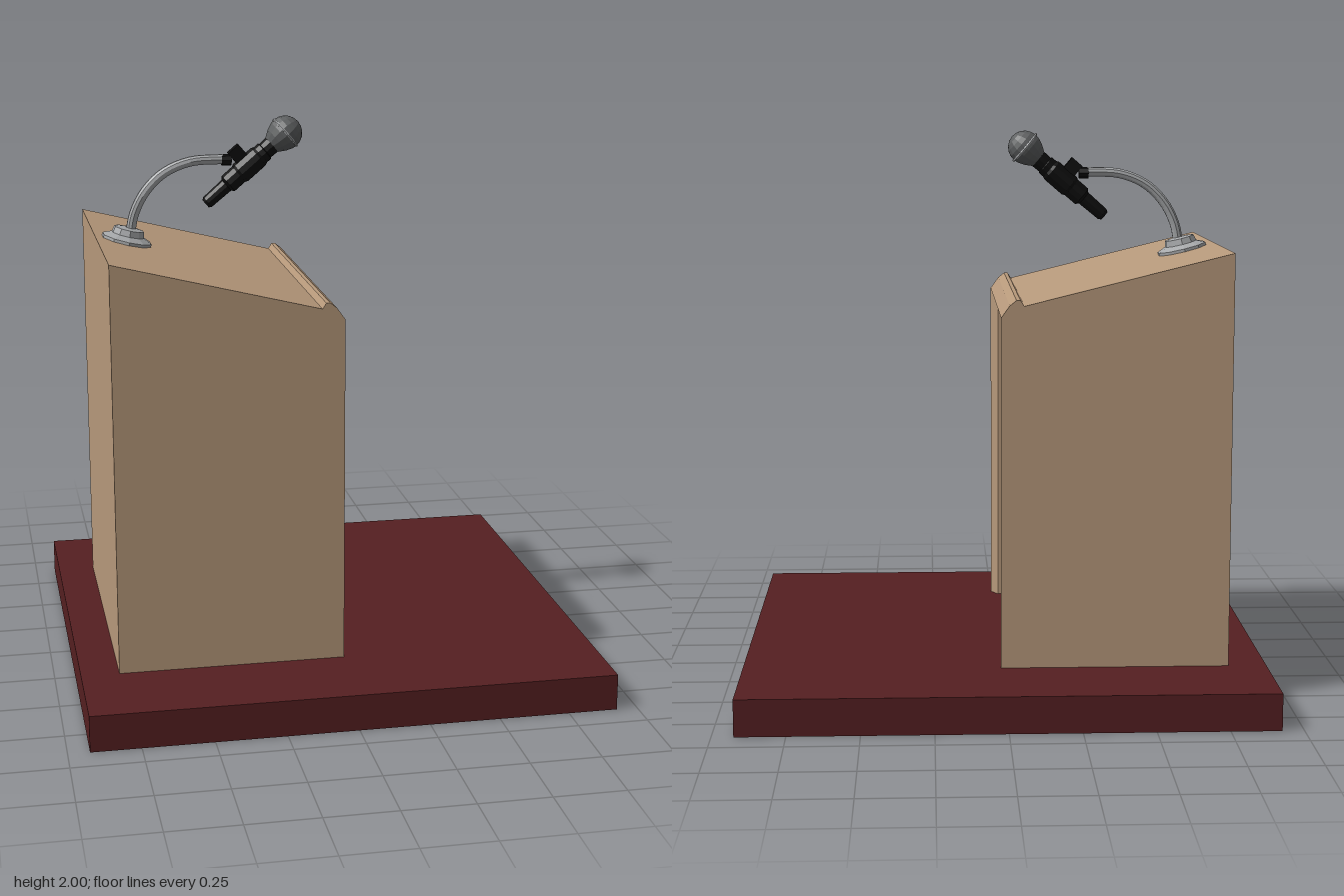
import * as THREE from 'three';

const mat = (name, color) => {
  const m = new THREE.MeshStandardMaterial({ color, flatShading: true });
  m.name = name;
  return m;
};

export function createModel() {
  const maroon = mat('maroon', 0x551f21);
  const wood = mat('wood', 0xb7997b);
  wood.side = THREE.DoubleSide;
  const steel = mat('steel', 0xa6a8aa);
  const black = mat('black', 0x0d0d0d);
  const mesh = mat('grille', 0x5c5e5f);

  const model = new THREE.Group();
  const add = (name, geometry, material, parent = model) => {
    const m = new THREE.Mesh(geometry, material);
    m.name = name;
    parent.add(m);
    return m;
  };
  const lathe = (points, sides) =>
    new THREE.LatheGeometry(points.map(([r, y]) => new THREE.Vector2(r, y)), sides);

  // Floor platform
  add('platform', new THREE.BoxGeometry(1.85, 0.13, 1.79), maroon).position.y = 0.065;

  // Lectern outer side profile, from front foot over the lip and desk to back foot
  const floor = 0.13, halfZ = 0.553;
  const profile = [
    [0.015, floor], [0.015, 1.37], [-0.015, 1.412], [-0.038, 1.43],
    [-0.052, 1.43], [-0.065, 1.41], [-0.79, 1.59], [-0.79, floor],
  ];
  const lectern = new THREE.Group();
  lectern.name = 'lectern';
  model.add(lectern);
  const shape = new THREE.Shape(profile.map(([x, y]) => new THREE.Vector2(x, y)));
  for (const side of [1, -1]) {
    const panel = add(side > 0 ? 'frontSidePanel' : 'backSidePanel',
      new THREE.ShapeGeometry(shape), wood, lectern);
    panel.position.z = side * halfZ;
    if (side < 0) panel.geometry.scale(1, 1, -1).index.array.reverse();
    panel.geometry.computeVertexNormals();
  }

  // Strips of quads, each given as four corners counter-clockwise from outside
  const quads = (list) => {
    const pos = [];
    for (const [a, b, c, d] of list) pos.push(...a, ...b, ...c, ...a, ...c, ...d);
    const g = new THREE.BufferGeometry();
    g.setAttribute('position', new THREE.Float32BufferAttribute(pos, 3));
    g.computeVertexNormals();
    return g;
  };
  const shell = [];
  for (let i = 1; i < profile.length - 1; i++) {
    const [a, b] = [profile[i], profile[i + 1]];
    shell.push([[...a, halfZ], [...a, -halfZ], [...b, -halfZ], [...b, halfZ]]);
  }
  add('deskAndBack', quads(shell), wood, lectern);

  // Bevelled mouth and hollow interior: arches at mouth, throat and back wall
  const arch = (x, top, z) => [[x, floor, z], [x, top, z], [x, top, -z], [x, floor, -z]];
  const arches = [arch(0.015, 1.37, halfZ), arch(-0.012, 1.32, 0.51), arch(-0.72, 1.335, 0.51)];
  const inside = [[arches[2][0], arches[2][3], arches[2][2], arches[2][1]]];
  for (let i = 0; i < 2; i++) {
    const [p, q] = [arches[i], arches[i + 1]];
    for (let j = 0; j < 3; j++) inside.push([p[j], q[j], q[j + 1], p[j + 1]]);
  }
  add('interior', quads(inside), wood, lectern);

  // Microphone stand: stepped foot on the sloping desk
  const stand = new THREE.Group();
  stand.name = 'microphoneStand';
  stand.position.z = -0.013;
  model.add(stand);
  const foot = add('standFoot', lathe([
    [0, 0], [0.092, 0], [0.092, 0.012], [0.06, 0.026], [0.055, 0.048], [0.025, 0.052], [0, 0.052],
  ], 10), steel, stand);
  foot.position.set(-0.675, 1.56, 0);
  foot.rotation.z = -0.243;

  // Curved neck
  const neck = new THREE.CatmullRomCurve3([
    [-0.66, 1.59], [-0.645, 1.66], [-0.605, 1.737], [-0.535, 1.805], [-0.44, 1.843], [-0.32, 1.849],
  ].map(([x, y]) => new THREE.Vector3(x, y, 0)));
  add('neck', new THREE.TubeGeometry(neck, 20, 0.018, 10), steel, stand);

  // Microphone, local y running from the tail to the head centre
  const mic = new THREE.Group();
  mic.name = 'microphone';
  mic.position.set(-0.092, 1.938, 0);
  mic.rotation.z = -0.865;
  stand.add(mic);
  add('handle', lathe([
    [0, -0.385], [0.018, -0.385], [0.024, -0.375], [0.027, -0.26], [0.034, -0.06], [0, -0.06],
  ], 12), black, mic);
  add('clipSleeve', lathe([
    [0.026, -0.285], [0.037, -0.275], [0.037, -0.225], [0.042, -0.215],
    [0.042, -0.13], [0.037, -0.12], [0.037, -0.1], [0.03, -0.095],
  ], 12), black, mic);
  const joint = add('clipJoint', new THREE.BoxGeometry(0.06, 0.05, 0.035), black, mic);
  joint.position.set(-0.055, -0.18, 0);
  const pivot = add('clipPivot', new THREE.CylinderGeometry(0.021, 0.021, 0.035, 8), black, stand);
  pivot.position.set(-0.308, 1.846, 0);
  pivot.rotation.z = Math.PI / 2;

  // Head: tapered lower basket, domed top and a ring between them
  const dome = [0, 1, 2, 3, 4, 5].map((i) => {
    const a = (i / 5) * Math.PI / 2;
    return [0.062 * Math.cos(a), 0.062 * Math.sin(a)];
  });
  add('head', lathe([[0.034, -0.065], [0.05, -0.04], [0.06, -0.015], ...dome], 14), mesh, mic);
  const ring = add('headRing', new THREE.TorusGeometry(0.062, 0.005, 6, 16), steel, mic);
  ring.rotation.x = Math.PI / 2;

  return model;
}
